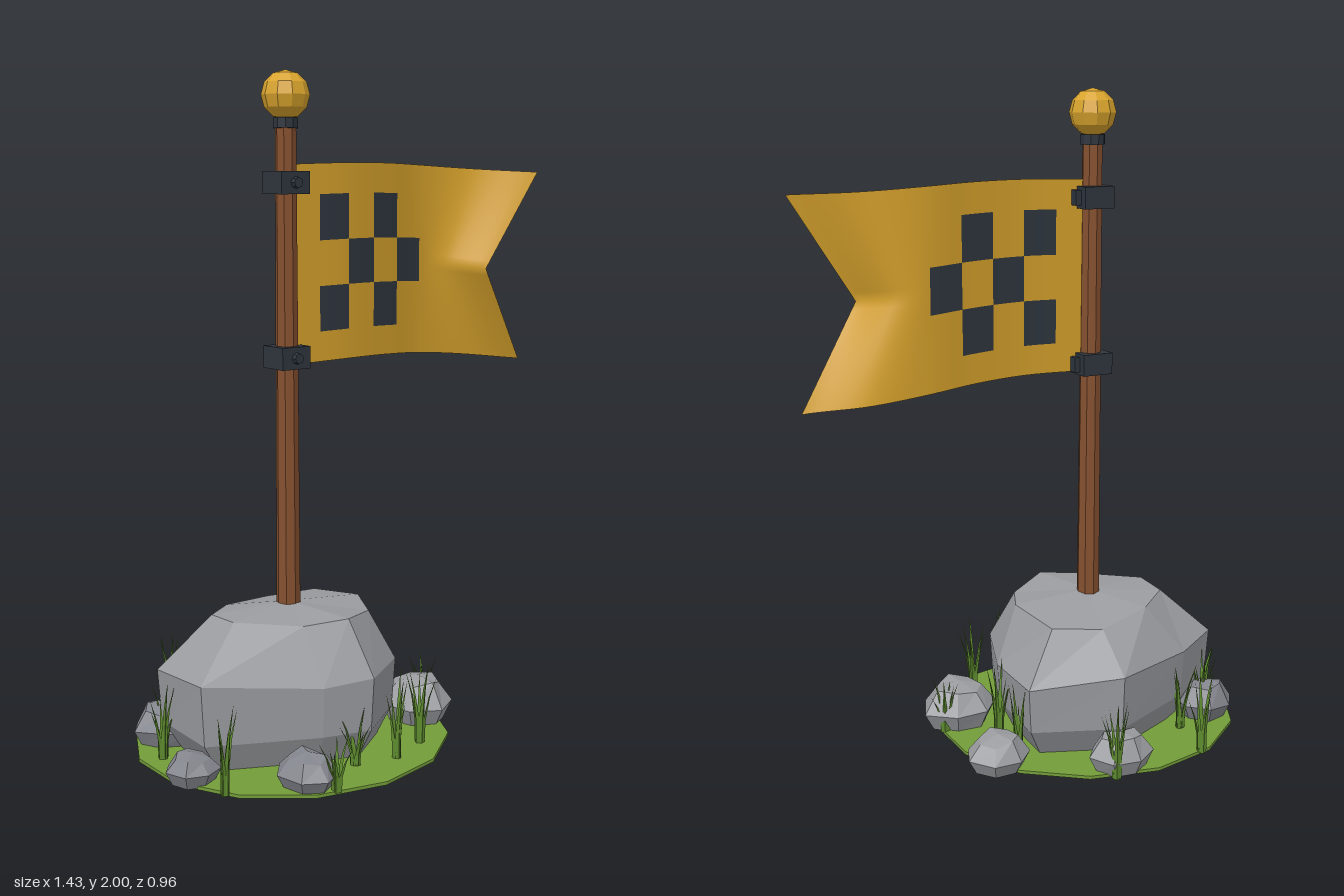
import * as THREE from 'three';

const flat = (name, color, side = THREE.FrontSide) => {
  const m = new THREE.MeshStandardMaterial({ color, flatShading: true, side });
  m.name = name;
  return m;
};
const mats = {
  stone: flat('stone', 0x9a9ca0),
  pebble: flat('darkStone', 0x84868d),
  turf: flat('turf', 0x739c39),
  blade: flat('grassBlade', 0x5d8a2e, THREE.DoubleSide),
  wood: flat('wood', 0x85502f),
  iron: flat('iron', 0x2e353d),
  gold: flat('gold', 0xd9a42d),
};
const cloth = flat('goldCloth', 0xd4a02b, THREE.DoubleSide);
const check = flat('darkCheck', 0x2e363e, THREE.DoubleSide);
cloth.flatShading = check.flatShading = false;

const POLE_X = -0.22;

let seed = 7;
const rand = () => (seed = (seed * 16807) % 2147483647) / 2147483647;

function add(parent, name, geometry, material, x = 0, y = 0, z = 0) {
  const mesh = new THREE.Mesh(geometry, material);
  mesh.name = name;
  mesh.position.set(x, y, z);
  parent.add(mesh);
  return mesh;
}

// Closed solid from stacked rings (bottom to top), capped by two centre points
function ringSolid(rings, bottom, top) {
  const n = rings[0].length, pos = [...rings.flat(2), ...bottom, ...top], idx = [];
  const b = rings.length * n, t = b + 1, last = (rings.length - 1) * n;
  for (let i = 0; i < n; i++) {
    const j = (i + 1) % n;
    for (let r = 0; r < rings.length - 1; r++) {
      const lo = r * n, hi = lo + n;
      idx.push(lo + i, hi + i, lo + j, lo + j, hi + i, hi + j);
    }
    idx.push(b, i, j, last + i, t, last + j);
  }
  const g = new THREE.BufferGeometry();
  g.setAttribute('position', new THREE.Float32BufferAttribute(pos, 3));
  g.setIndex(idx);
  g.computeVertexNormals();
  return g;
}

// Large boulder holding the pole
function boulder() {
  const waist = [[-0.61, 0.26, -0.12], [-0.45, 0.25, -0.22], [-0.15, 0.27, -0.355], [0.12, 0.24, -0.25],
    [0.105, 0.23, 0], [0.035, 0.25, 0.2], [-0.15, 0.26, 0.33], [-0.3, 0.25, 0.29], [-0.62, 0.28, 0.14]];
  const crown = [[-0.45, 0.41, -0.07], [-0.34, 0.4, -0.16], [-0.15, 0.38, -0.22], [0, 0.39, -0.17],
    [0.03, 0.41, 0.02], [-0.03, 0.4, 0.15], [-0.17, 0.42, 0.235], [-0.3, 0.41, 0.19], [-0.45, 0.415, 0.05]];
  const shrink = (s, y) => waist.map(([x, , z]) => [POLE_X + (x - POLE_X) * s, y, z * s]);
  return ringSolid([shrink(0.82, 0.004), shrink(0.97, 0.1), waist, crown],
    [POLE_X, 0.004, 0], [POLE_X, 0.43, 0]);
}

// Small loose rock: irregular seven-sided rings
function smallRock(rx, rz, h) {
  const n = 7, turn = rand() * 6, wobble = Array.from({ length: n }, () => 0.9 + rand() * 0.22);
  const ring = (s, y) => wobble.map((w, i) => {
    const a = turn + (i / n) * Math.PI * 2;
    return [Math.cos(a) * rx * s * w, y * h * (y > 0.1 ? 0.9 + rand() * 0.2 : 1), Math.sin(a) * rz * s * w];
  });
  return ringSolid([ring(0.75, 0.03), ring(1, 0.45), ring(0.62, 0.88)], [0, 0.004, 0], [0, h, 0]);
}

// Tuft of slim blades, bending outwards toward their tips
function tuft(height) {
  const g = new THREE.Group();
  g.name = 'grassTuft';
  for (let i = 0; i < 6; i++) {
    const h = height * (0.6 + 0.4 * rand()), a = (i / 6) * Math.PI * 2 + rand();
    const geo = new THREE.ConeGeometry(0.014, h, 3, 3, true);
    geo.translate(0, h / 2, 0);
    const p = geo.attributes.position, lean = 0.02 + rand() * 0.025;
    for (let k = 0; k < p.count; k++) {
      const t = p.getY(k) / h;
      p.setZ(k, p.getZ(k) * 0.5 + 0.008 + lean * t * t);
    }
    geo.computeVertexNormals();
    add(g, 'grassBlade', geo, mats.blade).rotation.y = a;
  }
  return g;
}

// Waving swallow-tailed flag with a checker pattern on its cells
function flagGeometry() {
  const cols = 49, rows = 26, pos = [], plain = [], dark = [];
  const wave = new THREE.SplineCurve([0.003, 0, -0.03, -0.068, -0.062, 0.012]
    .map((z, i) => new THREE.Vector2(i / 5, z)));
  for (let j = 0; j <= rows; j++) {
    const v = j / rows;
    for (let i = 0; i <= cols; i++) {
      const u = (i - 1) / 48, tail = Math.max(0, (u - 0.585) / 0.415), curl = Math.max(0, u * 2 - 1);
      const x = -0.174 + 0.884 * u - 0.185 * tail * (1 - Math.abs(2 * v - 1));
      const y = 1.147 + v * 0.587 + 0.008 * Math.sin(u * 4) - (0.04 - 0.025 * v) * u * u;
      const z = wave.getPoint(Math.max(0, u)).y + 0.075 * v * curl * curl;
      pos.push(x, y, z);
    }
  }
  for (let j = 0; j < rows; j++) for (let i = 0; i < cols; i++) {
    const c = Math.floor((i - 5) / 6), r = Math.floor((j - 4) / 6);
    const checked = c >= 0 && c < 4 && r >= 0 && r < 3 && (c + r) % 2 === 0;
    const a = j * (cols + 1) + i, d = a + cols + 1;
    (checked ? dark : plain).push(a, a + 1, d, d, a + 1, d + 1);
  }
  const g = new THREE.BufferGeometry();
  g.setAttribute('position', new THREE.Float32BufferAttribute(pos, 3));
  g.setIndex([...plain, ...dark]);
  g.addGroup(0, plain.length, 0);
  g.addGroup(plain.length, dark.length, 1);
  g.computeVertexNormals();
  return g;
}

export function createModel() {
  const model = new THREE.Group();
  model.name = 'flagOnBoulder';

  // Ground and rocks
  const ground = add(model, 'turfDisc', new THREE.CylinderGeometry(1, 1, 0.01, 14), mats.turf, -0.213, 0.005, 0.005);
  ground.scale.set(0.488, 1, 0.465);
  add(model, 'boulder', boulder(), mats.stone);
  const rocks = [[-0.12, -0.39, 0.1, 0.085, 0.12], [0.21, -0.22, 0.095, 0.09, 0.11], [0.185, 0.125, 0.12, 0.125, 0.145],
    [-0.4, 0.345, 0.08, 0.1, 0.105], [-0.64, 0.12, 0.078, 0.085, 0.09], [-0.55, -0.185, 0.1, 0.095, 0.125]];
  rocks.forEach(([x, z, rx, rz, h], i) =>
    add(model, 'smallRock', smallRock(rx, rz, h), i < 3 ? mats.stone : mats.pebble, x, 0, z));

  // Grass tufts: x, z, height
  const tufts = [[-0.39, -0.42, 0.27], [-0.07, -0.45, 0.27], [-0.55, -0.18, 0.25], [-0.63, -0.06, 0.26],
    [-0.62, 0.26, 0.28], [-0.36, 0.43, 0.2], [-0.08, 0.35, 0.27], [0.05, 0.3, 0.28], [-0.21, 0.32, 0.18],
    [0.135, -0.07, 0.29], [0.13, -0.2, 0.25], [0.255, 0.07, 0.19], [-0.42, -0.25, 0.24]];
  for (const [x, z, h] of tufts) {
    const t = tuft(h);
    t.position.set(x, 0.005, z);
    model.add(t);
  }

  // Pole, collar and finial
  add(model, 'pole', new THREE.CylinderGeometry(0.031, 0.037, 1.54, 8), mats.wood, POLE_X, 1.07, 0);
  add(model, 'collar', new THREE.CylinderGeometry(0.038, 0.038, 0.03, 10), mats.iron, POLE_X, 1.85, 0);
  add(model, 'finial', new THREE.SphereGeometry(0.071, 10, 6), mats.gold, POLE_X, 1.929, 0);

  // Iron clamps with bolts and a tab gripping the cloth
  for (const y of [1.68, 1.172]) {
    const clamp = new THREE.Group();
    clamp.name = 'clamp';
    clamp.position.set(POLE_X, y, 0);
    add(clamp, 'clampBody', new THREE.BoxGeometry(0.1, 0.066, 0.1), mats.iron);
    add(clamp, 'clampTab', new THREE.BoxGeometry(0.03, 0.046, 0.05), mats.iron, 0.053, 0, 0);
    add(clamp, 'bolt', new THREE.CylinderGeometry(0.015, 0.018, 0.018, 8), mats.iron, 0, 0, 0.056).rotation.x = Math.PI / 2;
    model.add(clamp);
  }

  add(model, 'flag', flagGeometry(), [cloth, check]);
  return model;
}
